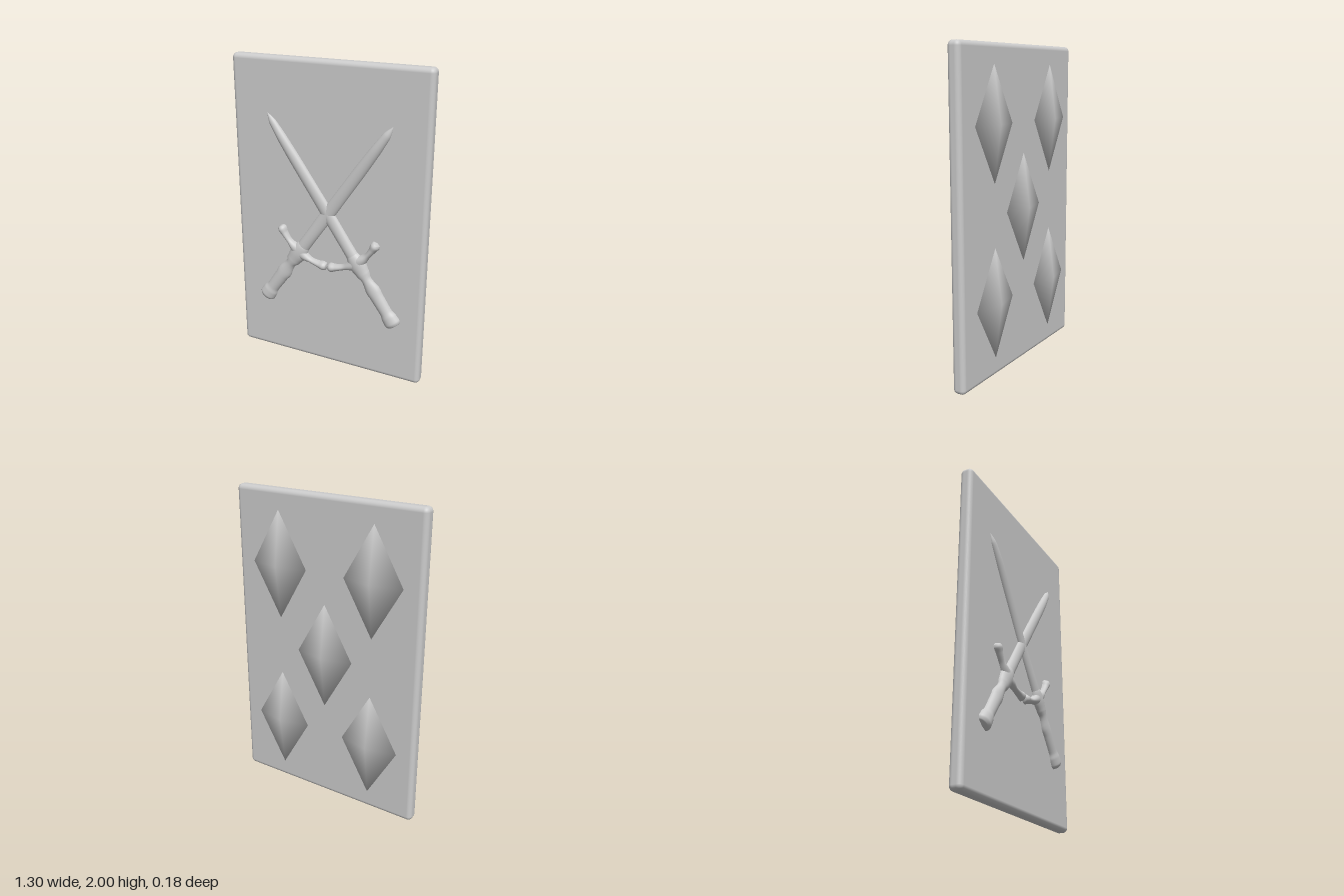
import * as THREE from 'three';
import { RoundedBoxGeometry } from 'three/addons/geometries/RoundedBoxGeometry.js';

const material = new THREE.MeshStandardMaterial({ color: 0xcccccc });
const FRONT = 0.047; // just under the front face of the card

function addMesh(parent, geometry, name) {
  const mesh = new THREE.Mesh(geometry, material);
  mesh.name = name;
  parent.add(mesh);
  return mesh;
}

function buildIndexed(positions, index) {
  const geometry = new THREE.BufferGeometry();
  geometry.setAttribute('position', new THREE.Float32BufferAttribute(positions, 3));
  geometry.setIndex(index);
  geometry.computeVertexNormals();
  return geometry;
}

// Half-round relief swept along a flat path; stations are [x, y, halfWidth, height]
function relief(stations, steps) {
  const path = new THREE.CatmullRomCurve3(stations.map(([x, y]) => new THREE.Vector3(x, y, 0)));
  const size = new THREE.CatmullRomCurve3(stations.map(([, , w, h]) => new THREE.Vector3(w, h, 0)));
  const sides = 14, positions = [], index = [];
  for (let i = 0; i <= steps; i++) {
    const p = path.getPoint(i / steps);
    const d = path.getTangent(i / steps);
    const s = size.getPoint(i / steps);
    for (let j = 0; j <= sides; j++) {
      const a = (Math.PI * j) / sides;
      const across = Math.cos(a) * Math.max(s.x, 0);
      positions.push(p.x + d.y * across, p.y - d.x * across, Math.sin(a) * Math.max(s.y, 0));
      if (i < steps && j < sides) {
        const k = i * (sides + 1) + j, n = k + sides + 1;
        index.push(k, n, k + 1, n, n + 1, k + 1);
      }
    }
  }
  return buildIndexed(positions, index);
}

// Sword pointing up its own y axis, pommel end at the origin
function makeSword(name) {
  const sword = new THREE.Group();
  sword.name = name;

  addMesh(sword, relief([
    [0, 0.44, 0.045, 0.034], [0, 0.56, 0.042, 0.032], [0, 0.82, 0.043, 0.026], [0, 1.0, 0.041, 0.028],
    [0, 1.2, 0.039, 0.03], [0, 1.36, 0.034, 0.03], [0, 1.48, 0.025, 0.022], [0, 1.545, 0.003, 0.003],
  ], 48), 'blade');

  addMesh(sword, relief([
    [0, 0, 0, 0], [0, 0.006, 0.042, 0.03], [0, 0.03, 0.056, 0.043], [0, 0.07, 0.053, 0.042],
    [0, 0.11, 0.043, 0.037], [0, 0.24, 0.047, 0.037], [0, 0.38, 0.047, 0.037],
    [0, 0.46, 0.062, 0.041], [0, 0.52, 0.044, 0.034], [0, 0.56, 0.036, 0],
  ], 60), 'grip');

  // Curved guard arms with knobbed ends
  for (const side of [-1, 1]) {
    addMesh(sword, relief([
      [0, 0.47, 0.055, 0.038], [side * 0.05, 0.472, 0.032, 0.038], [side * 0.1, 0.482, 0.02, 0.032],
      [side * 0.15, 0.5, 0.024, 0.036], [side * 0.178, 0.513, 0.031, 0.041],
      [side * 0.196, 0.521, 0.024, 0.032], [side * 0.203, 0.524, 0, 0],
    ], 36), 'guardArm');
  }
  return sword;
}

// Smooth-shaded shallow pyramid on a rhombus base, peak towards -z
function diamondGeometry(halfWidth, halfHeight, depth) {
  return buildIndexed(
    [halfWidth, 0, 0, 0, halfHeight, 0, -halfWidth, 0, 0, 0, -halfHeight, 0, 0, 0, -depth],
    [4, 1, 0, 4, 2, 1, 4, 3, 2, 4, 0, 3, 0, 1, 2, 0, 2, 3],
  );
}

export function createModel() {
  const model = new THREE.Group();
  model.name = 'cardPlaque';

  const card = addMesh(model, new RoundedBoxGeometry(1.296, 2, 0.083, 5, 0.03), 'card');
  card.position.set(0, 1, 0.0075);

  // Crossed swords on the front
  for (const side of [-1, 1]) {
    const sword = makeSword(side < 0 ? 'rightSword' : 'leftSword');
    sword.position.set(0.008 + side * 0.468, 0.385, FRONT);
    sword.rotation.z = side * 0.606;
    model.add(sword);
  }

  // Five diamonds on the back
  const diamond = diamondGeometry(0.197, 0.342, 0.045);
  for (const [x, y] of [[0, 0], [-1, -1], [1, -1], [-1, 1], [1, 1]]) {
    addMesh(model, diamond, 'diamond').position.set(-0.006 + x * 0.33, 1.003 + y * 0.534, -0.047);
  }
  return model;
}
